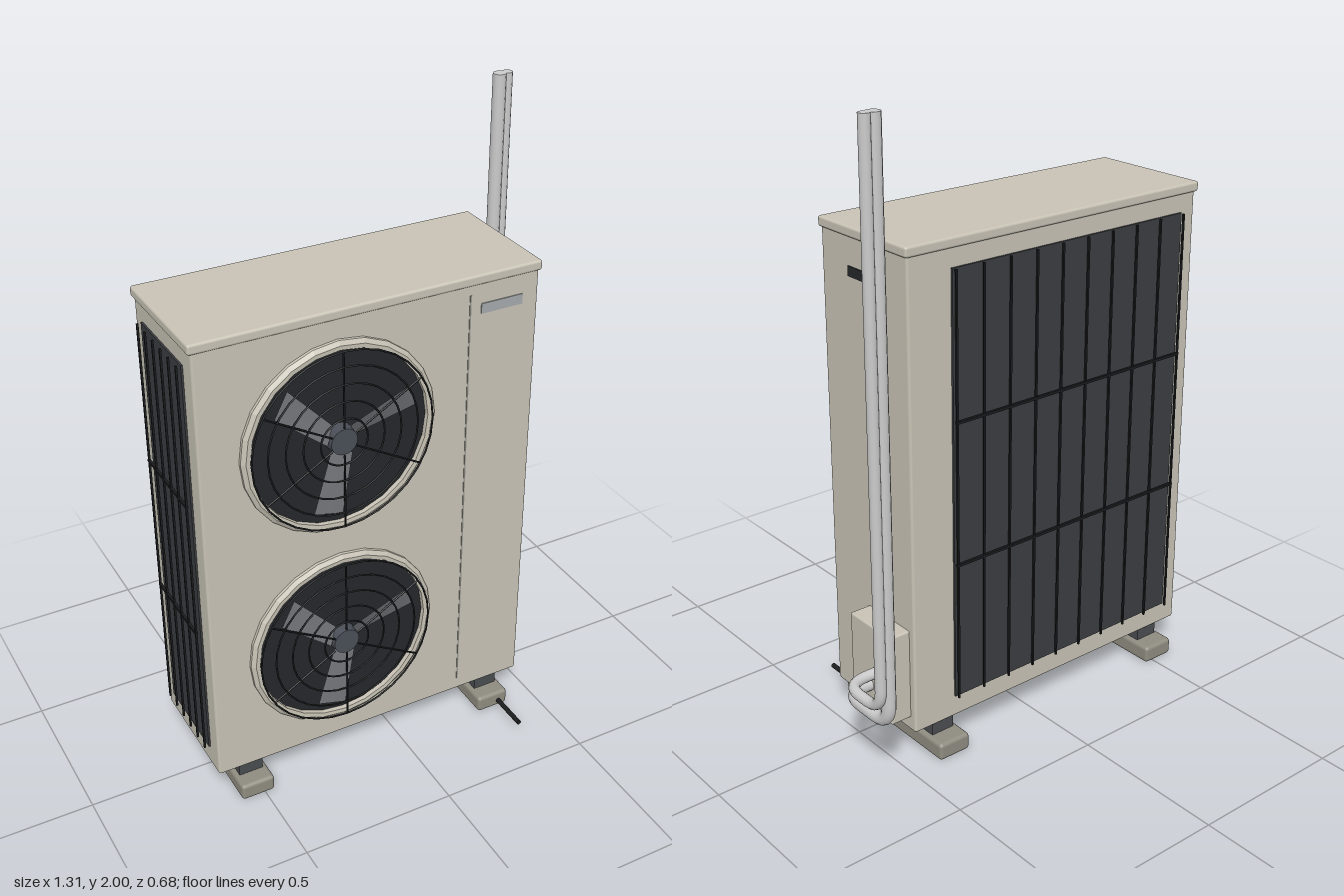
import * as THREE from 'three';
import { RoundedBoxGeometry } from 'three/addons/geometries/RoundedBoxGeometry.js';

const mat = (color, side = THREE.FrontSide) => new THREE.MeshStandardMaterial({ color, side });
const M = {
  shell: mat(0xc8c3b5), foot: mat(0x8f8c80), rubber: mat(0x4a4d50), dark: mat(0x25272a),
  wire: mat(0x1b1c1e), fin: mat(0x3b3d41), hub: mat(0x4a4e57), seam: mat(0x9c9a92),
  plate: mat(0xa6a9ac), pipe: mat(0xd6d6d2), blade: mat(0x707276, THREE.DoubleSide),
};

function add(parent, name, geometry, material, x = 0, y = 0, z = 0) {
  const mesh = new THREE.Mesh(geometry, material);
  mesh.name = name;
  mesh.position.set(x, y, z);
  parent.add(mesh);
  return mesh;
}

// Box given by its limits on each axis, with optional rounded edges
function box(parent, name, material, [x0, x1], [y0, y1], [z0, z1], r = 0) {
  const s = [x1 - x0, y1 - y0, z1 - z0];
  const geo = r ? new RoundedBoxGeometry(...s, 2, r) : new THREE.BoxGeometry(...s);
  return add(parent, name, geo, material, (x0 + x1) / 2, (y0 + y1) / 2, (z0 + z1) / 2);
}

// Twisted fan blade running out along +x
function bladeGeometry() {
  const geo = new THREE.PlaneGeometry(1, 1, 6, 2);
  const p = geo.attributes.position;
  for (let i = 0; i < p.count; i++) {
    const t = p.getX(i) + 0.5, v = p.getY(i);
    const width = 0.055 + 0.03 * t;
    p.setXYZ(i, 0.04 + 0.205 * t, v * width - 0.025 * t + 0.005, v * (0.026 - 0.008 * t));
  }
  geo.computeVertexNormals();
  return geo;
}

// Fan opening with its lip, blades, hub and wire guard
function fan(parent, name, x, y) {
  const g = new THREE.Group();
  g.name = name;
  g.position.set(x, y, 0.165);
  parent.add(g);
  const lip = [[0.284, 0], [0.284, 0.02], [0.298, 0.021], [0.311, 0.012], [0.311, 0]]
    .map(([r, h]) => new THREE.Vector2(r, h)).reverse();
  const lipGeo = new THREE.LatheGeometry(lip, 24).toNonIndexed();
  lipGeo.computeVertexNormals();
  const lipMat = M.shell.clone();
  lipMat.side = THREE.DoubleSide;
  add(g, 'fanLip', lipGeo, lipMat).rotation.x = Math.PI / 2;
  add(g, 'fanOpening', new THREE.CircleGeometry(0.29, 32), M.dark, 0, 0, 0.004);
  const blade = bladeGeometry();
  for (let i = 0; i < 3; i++) {
    add(g, 'fanBlade', blade, M.blade, 0, 0, 0.021).rotation.z = 0.42 + i * Math.PI * 2 / 3;
  }
  add(g, 'fanHub', new THREE.CylinderGeometry(0.042, 0.046, 0.036, 20), M.hub, 0, 0, 0.022)
    .rotation.x = Math.PI / 2;
  for (const r of [0.075, 0.13, 0.185, 0.24, 0.289]) {
    add(g, 'guardRing', new THREE.TorusGeometry(r, 0.003, 6, 32), M.wire, 0, 0, 0.039);
  }
  for (let i = 0; i < 6; i++) {
    const a = Math.PI / 6 + i * Math.PI / 3, r = 0.167;
    add(g, 'guardSpoke', new THREE.CylinderGeometry(0.003, 0.003, 0.244, 6), M.wire,
      Math.cos(a) * r, Math.sin(a) * r, 0.039).rotation.z = a - Math.PI / 2;
  }
}

// Coil panel with wire guard, built in its own plane facing +z
function coil(parent, name, width, columns) {
  const g = new THREE.Group();
  g.name = name;
  parent.add(g);
  const h = 1.35, w = width / 2;
  box(g, 'coilFins', M.fin, [-w, w], [-h / 2, h / 2], [-0.004, 0.005]);
  for (let i = 0; i <= columns; i++) {
    const x = -w + 0.004 + (width - 0.008) * i / columns;
    box(g, 'guardBar', M.wire, [x - 0.003, x + 0.003], [-h / 2, h / 2], [0.014, 0.02]);
  }
  for (const y of [-h / 6, h / 6]) {
    box(g, 'guardCrossBar', M.wire, [-w, w], [y - 0.004, y + 0.004], [0.013, 0.021]);
  }
  return g;
}

// Pipe leaving the service box, bending back and then up
function pipe(parent, name, x, y, z, zBack, r) {
  const V = (...c) => new THREE.Vector3(...c), b = 0.07;
  const path = new THREE.CurvePath();
  path.add(new THREE.LineCurve3(V(0.5, y, z), V(x - b, y, z)));
  path.add(new THREE.QuadraticBezierCurve3(V(x - b, y, z), V(x, y, z), V(x, y, z - b)));
  path.add(new THREE.LineCurve3(V(x, y, z - b), V(x, y, zBack + b)));
  path.add(new THREE.QuadraticBezierCurve3(V(x, y, zBack + b), V(x, y, zBack), V(x, y + b, zBack)));
  path.add(new THREE.LineCurve3(V(x, y + b, zBack), V(x, 2, zBack)));
  add(parent, name, new THREE.TubeGeometry(path, 160, r, 12), M.pipe);
  add(parent, name + 'End', new THREE.CircleGeometry(r, 12), M.pipe, x, 2, zBack)
    .rotation.x = -Math.PI / 2;
}

export function createModel() {
  const model = new THREE.Group();
  model.name = 'outdoorUnit';

  // Casing
  box(model, 'casing', M.shell, [-0.635, 0.457], [0.1, 1.59], [-0.235, 0.167], 0.008);
  box(model, 'lid', M.shell, [-0.644, 0.466], [1.578, 1.61], [-0.243, 0.171], 0.008);
  box(model, 'panelSeam', M.seam, [0.223, 0.228], [0.145, 1.55], [0.16, 0.169]);
  box(model, 'namePlate', M.plate, [0.262, 0.402], [1.485, 1.517], [0.16, 0.17]);
  box(model, 'handle', M.dark, [0.45, 0.461], [1.463, 1.493], [-0.1, 0.036]);

  // Feet with rubber pads
  for (const x of [-0.523, 0.345]) {
    box(model, 'foot', M.foot, [x - 0.056, x + 0.056], [0, 0.056], [-0.284, 0.211], 0.012);
    box(model, 'rubberPad', M.rubber, [x - 0.04, x + 0.04], [0.05, 0.105], [-0.222, 0.155]);
  }

  // Fans
  fan(model, 'upperFan', -0.203, 1.208);
  fan(model, 'lowerFan', -0.203, 0.49);

  // Coils on the back and the right side
  const back = coil(model, 'backCoil', 0.885, 9);
  back.position.set(-0.133, 0.847, -0.237);
  back.rotation.y = Math.PI;
  const side = coil(model, 'sideCoil', 0.288, 5);
  side.position.set(-0.636, 0.847, -0.036);
  side.rotation.y = -Math.PI / 2;

  // Service box, pipes and cable
  box(model, 'serviceBox', M.shell, [0.45, 0.526], [0.145, 0.44], [-0.212, -0.012], 0.006);
  pipe(model, 'thickPipe', 0.608, 0.236, -0.102, -0.315, 0.021);
  pipe(model, 'thinPipe', 0.636, 0.295, -0.141, -0.316, 0.017);
  add(model, 'cable', new THREE.CylinderGeometry(0.008, 0.008, 0.16, 10), M.wire, 0.366, 0.023, 0.26)
    .rotation.x = Math.PI / 2;

  return model;
}
